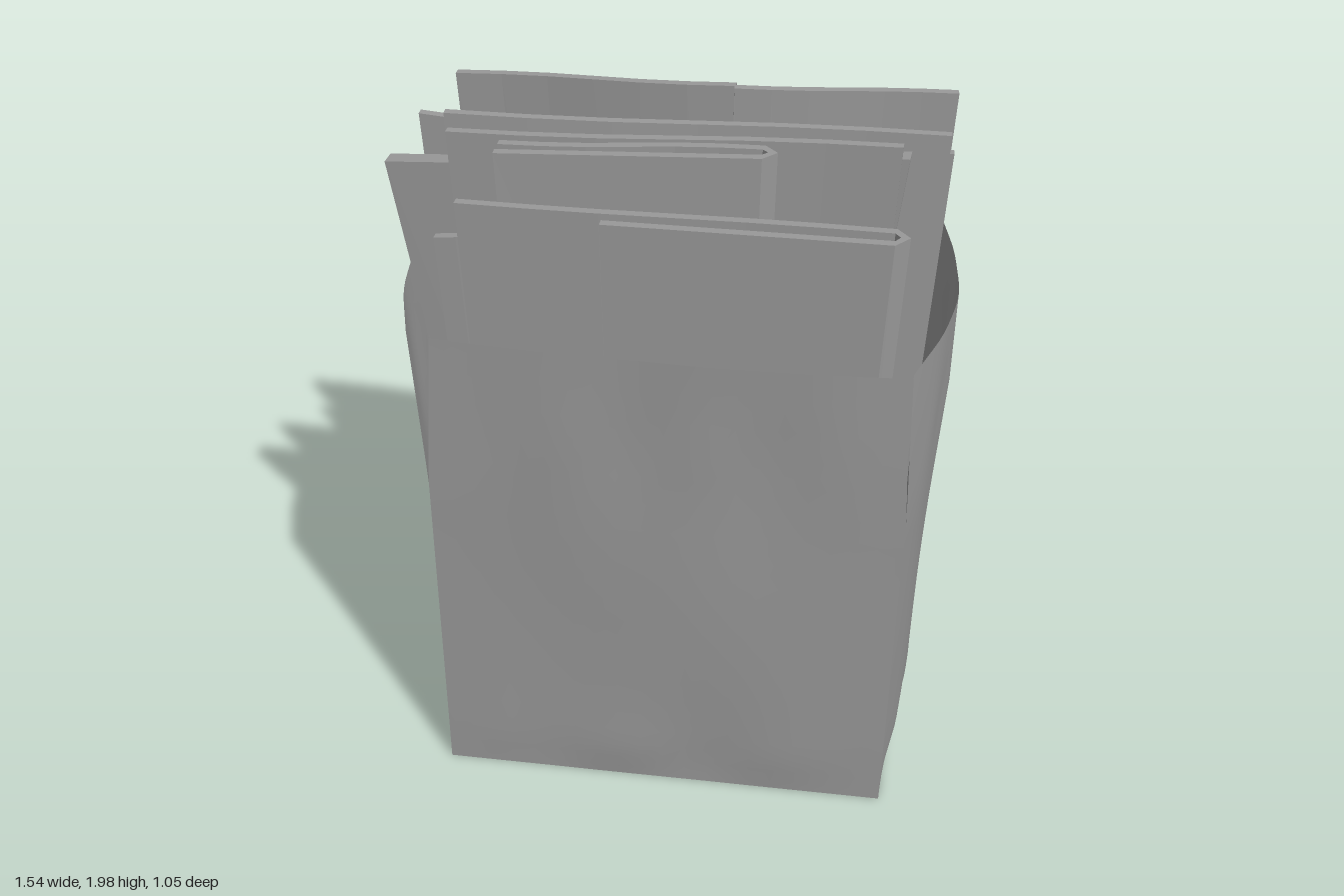
import * as THREE from 'three';

const paper = new THREE.MeshStandardMaterial({ color: 0x999999, side: THREE.DoubleSide });
paper.name = 'grey paper';

function add(group, name, geometry) {
  const mesh = new THREE.Mesh(geometry, paper);
  mesh.name = name;
  group.add(mesh);
  return mesh;
}

// One creased wall. Each row: height, start x, start z, end x, end z, bulge
function bagPanel(rows, outX, outZ, seed) {
  const n = 20;
  const at = y => {
    const [a, b] = y < rows[1][0] ? rows : rows.slice(1);
    return a.map((v, k) => v + (b[k] - v) * (y - a[0]) / (b[0] - a[0]));
  };
  const pos = [], index = [];
  for (let j = 0; j <= n; j++) {
    const y = 0.015 + 1.465 * Math.pow(j / n, 1.3);
    const [, ax, az, bx, bz, bulge] = at(y);
    const rounded = THREE.MathUtils.smoothstep(y, 0, 0.16);
    const low = Math.exp(-y * 6), high = Math.exp(-Math.abs(y - 1.2) * 5);
    for (let i = 0; i <= n; i++) {
      const u = i / n;
      const dent = 0.012 * low * Math.sin(u * 17 + seed) +
        0.006 * high * Math.sin(u * 21 + seed * 2) +
        0.004 * Math.sin(u * 6 + y * 5 + seed);
      const push = (bulge + dent) * rounded * Math.sin(Math.PI * u);
      pos.push(ax + (bx - ax) * u + outX * push, y, az + (bz - az) * u + outZ * push);
      if (i < n && j < n) {
        const a = j * (n + 1) + i, c = a + n + 1;
        index.push(a, a + 1, c + 1, a, c + 1, c);
      }
    }
  }
  const g = new THREE.BufferGeometry();
  g.setAttribute('position', new THREE.Float32BufferAttribute(pos, 3));
  g.setIndex(index);
  g.computeVertexNormals();
  return g;
}

// Plan of a sheet from x0,z0 to x1,z1, gently waved, optionally folded back to foldX
function plan(x0, z0, x1, z1, wave, foldX, gap) {
  const n = 6, path = [];
  for (let i = 0; i <= n; i++) {
    const k = i / n;
    path.push([x0 + (x1 - x0) * k, z0 + (z1 - z0) * k + wave * Math.sin(k * Math.PI * 2)]);
  }
  if (gap) path.push([x1 + Math.sign(x1 - x0) * 0.025, z1 + gap / 2], [x1, z1 + gap], [foldX, z0 + gap]);
  return path;
}

// Standing sheet: thick plan with a sloping top edge, tapering downwards
function sheet(path, top0, top1, { t = 0.025, bottom = 0.06, taper = 0.85, lean = 0 } = {}) {
  const near = [], far = [];
  path.forEach(([x, z], i) => {
    const p = path[Math.max(0, i - 1)], q = path[Math.min(path.length - 1, i + 1)];
    const dx = q[0] - p[0], dz = q[1] - p[1], s = t / 2 / Math.hypot(dx, dz);
    near.push(new THREE.Vector2(x - dz * s, -z - dx * s));
    far.unshift(new THREE.Vector2(x + dz * s, -z + dx * s));
  });
  const g = new THREE.ExtrudeGeometry(new THREE.Shape([...near, ...far]), { depth: 1, bevelEnabled: false });
  g.rotateX(-Math.PI / 2);
  const xs = path.map(p => p[0]), x0 = Math.min(...xs), x1 = Math.max(...xs);
  const v = g.attributes.position;
  for (let i = 0; i < v.count; i++) {
    const x = v.getX(i);
    if (v.getY(i) > 0.5) v.setY(i, THREE.MathUtils.mapLinear(x, x0, x1, top0, top1));
    else v.setXYZ(i, x * taper, bottom, v.getZ(i) + lean);
  }
  g.computeVertexNormals();
  return g;
}

export function createModel() {
  const model = new THREE.Group();
  model.name = 'bagOfPapers';

  // Bag walls; the corners split apart above y = 1.03
  const bag = new THREE.Group();
  bag.name = 'bag';
  model.add(bag);
  add(bag, 'bagFront', bagPanel([
    [0, -0.63, 0.49, 0.66, 0.49, 0.01],
    [1.03, -0.63, 0.49, 0.68, 0.5, 0.015],
    [1.48, -0.6, 0.48, 0.66, 0.5, 0.03]], 0, 1, 1));
  add(bag, 'bagBack', bagPanel([
    [0, 0.66, -0.44, -0.63, -0.44, 0.005],
    [1.03, 0.68, -0.44, -0.63, -0.44, 0.025],
    [1.48, 0.64, -0.5, -0.62, -0.5, 0.025]], 0, -1, 3));
  add(bag, 'bagRightSide', bagPanel([
    [0, -0.63, -0.44, -0.63, 0.49, 0.025],
    [1.03, -0.63, -0.44, -0.63, 0.49, 0.085],
    [1.48, -0.7, -0.42, -0.67, 0.45, 0.075]], -1, 0, 2));
  add(bag, 'bagLeftSide', bagPanel([
    [0, 0.66, 0.49, 0.66, -0.44, 0.04],
    [1.03, 0.68, 0.5, 0.68, -0.44, 0.07],
    [1.48, 0.67, 0.48, 0.71, -0.42, 0.08]], 1, 0, 5));
  const base = new THREE.PlaneGeometry(1.29, 0.93).rotateX(Math.PI / 2);
  add(bag, 'bagBase', base).position.set(0.015, 0.015, 0.025);

  // Folded papers: x0, z0, x1, z1, wave, fold end, fold gap, top at low x, top at high x
  [
    [-0.53, 0.385, 0.6, 0.39, 0.004, -0.14, 0.065, 1.84, 1.84],
    [-0.43, 0.295, 0.25, 0.25, 0.008, -0.43, 0.055, 1.97, 1.98],
    [-0.64, -0.17, 0.09, -0.12, 0.01, -0.32, 0.05, 1.82, 1.84],
  ].forEach(([x0, z0, x1, z1, wave, foldX, gap, a, b], i) =>
    add(model, `foldedPaper${i + 1}`, sheet(plan(x0, z0, x1, z1, wave, foldX, gap), a, b)));

  // Single sheets: x0, z0, x1, z1, wave, top at low x, top at high x
  [
    [-0.61, 0.32, -0.25, 0.3, 0.005, 1.7, 1.74],
    [-0.58, 0.24, 0.6, 0.21, 0.01, 1.97, 1.99],
    [-0.62, 0.105, 0.72, -0.01, 0.01, 1.96, 1.93],
    [-0.71, 0.03, 0.7, -0.07, 0.012, 1.92, 1.78],
    [-0.65, -0.2, 0.73, -0.18, -0.02, 1.76, 1.8],
    [-0.69, -0.3, 0.12, -0.23, -0.008, 1.9, 1.94],
    [0.12, -0.19, 0.73, -0.29, 0.005, 1.95, 1.93],
    [-0.2, -0.31, 0.66, -0.33, -0.015, 1.68, 1.67],
  ].forEach(([x0, z0, x1, z1, wave, a, b], i) =>
    add(model, `paperSheet${i + 1}`, sheet(plan(x0, z0, x1, z1, wave), a, b)));

  // Fanned-out booklet and the packet against the back wall
  add(model, 'leaningBooklet', sheet(plan(-0.77, 0.16, 0.62, 0.18, 0.012), 1.84, 1.95,
    { t: 0.05, bottom: 0.5, taper: 0.72 }));
  add(model, 'backPacket', sheet(plan(-0.59, -0.44, 0.5, -0.44, 0), 1.48, 1.48,
    { t: 0.1, bottom: 0.8, taper: 0.95, lean: 0.09 }));

  // Torn scrap curling backwards over the rear sheet
  const scrap = new THREE.PlaneGeometry(0.14, 0.12, 6, 6).rotateX(-Math.PI / 2);
  const v = scrap.attributes.position;
  for (let i = 0; i < v.count; i++) {
    const x = v.getX(i), z = v.getZ(i);
    v.setXYZ(i, x * (1 + z * 5), 0.012 * Math.sin(z * 45) + 2 * x * x, z);
  }
  scrap.computeVertexNormals();
  add(model, 'curledScrap', scrap).position.set(0.1, 1.685, -0.36);

  return model;
}
